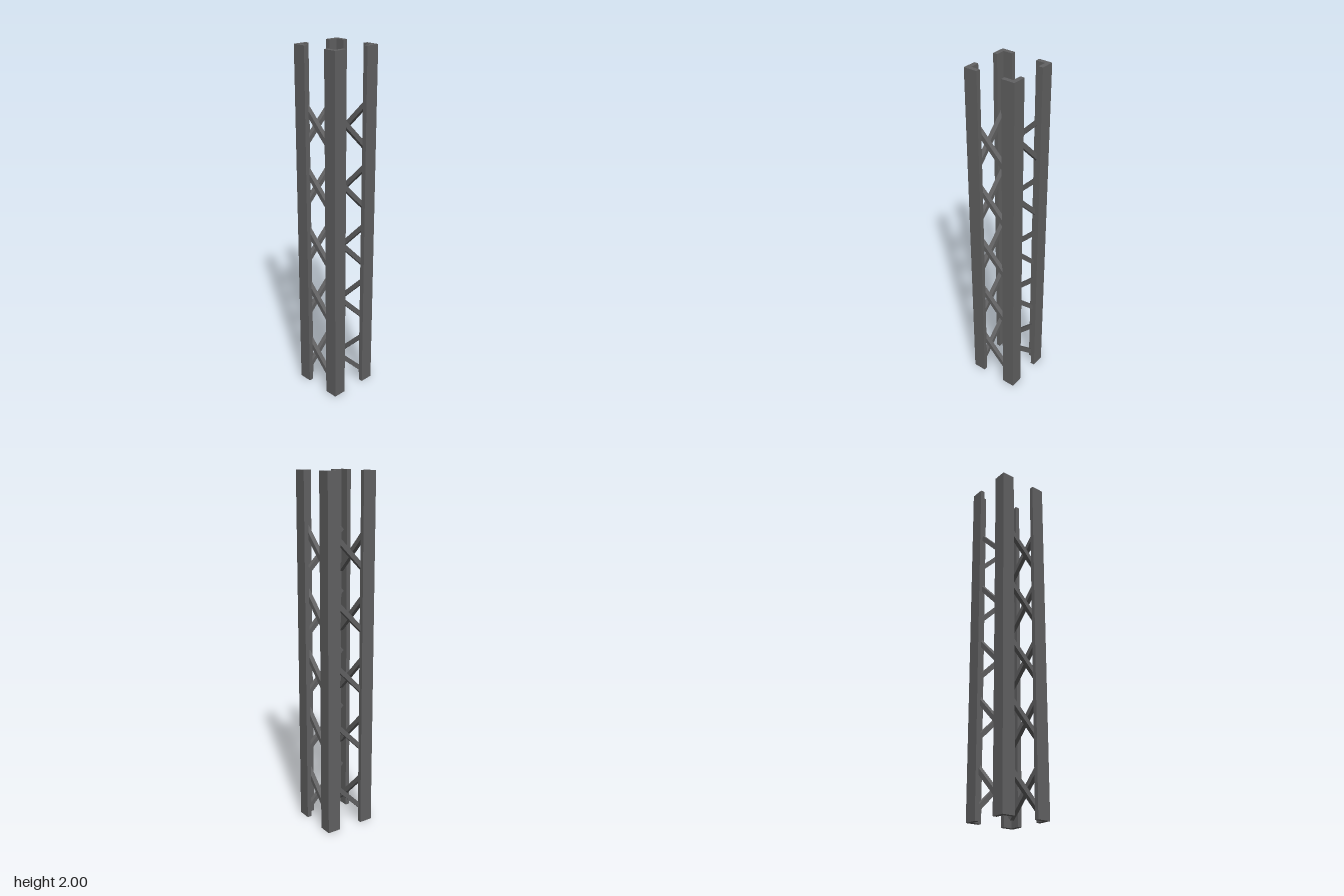
import * as THREE from 'three';

const steel = new THREE.MeshStandardMaterial({ color: 0x616162 });
steel.name = 'dark grey steel';

const HALF = 0.15, LEG = 0.077, WALL = 0.025, HEIGHT = 2;
const BAR = 0.026, BAR_LENGTH = 0.328;
const BAY_HEIGHTS = [0.17, 0.544, 0.886, 1.235, 1.579];

// L-shaped angle section with its outer corner at +x, +z
function anglePostGeometry() {
  const a = HALF, b = HALF - LEG, c = HALF - WALL;
  const section = new THREE.Shape([
    [a, -a], [a, -b], [c, -b], [c, -c], [b, -c], [b, -a],
  ].map(([x, y]) => new THREE.Vector2(x, y)));
  const geometry = new THREE.ExtrudeGeometry(section, { depth: HEIGHT, bevelEnabled: false });
  geometry.rotateX(-Math.PI / 2);
  return geometry;
}

export function createModel() {
  const model = new THREE.Group();
  model.name = 'latticeColumn';
  const postGeometry = anglePostGeometry();
  const barGeometry = new THREE.BoxGeometry(BAR_LENGTH, BAR, BAR);

  // Front, right, back and left: one corner post and one row of diagonals each
  ['front', 'right', 'back', 'left'].forEach((name, i) => {
    const side = new THREE.Group();
    side.name = name + 'Side';
    side.rotation.y = i * Math.PI / 2;

    const post = new THREE.Mesh(postGeometry, steel);
    post.name = 'anglePost';
    side.add(post);

    const lift = i < 2 ? -0.008 : 0.008;
    const offset = i === 3 ? 0.119 : 0.113;
    for (const y of BAY_HEIGHTS) {
      const brace = new THREE.Mesh(barGeometry, steel);
      brace.name = 'diagonalBrace';
      brace.position.set(0, y + lift, offset);
      brace.rotation.z = -Math.PI / 4;
      side.add(brace);
    }
    model.add(side);
  });
  return model;
}
